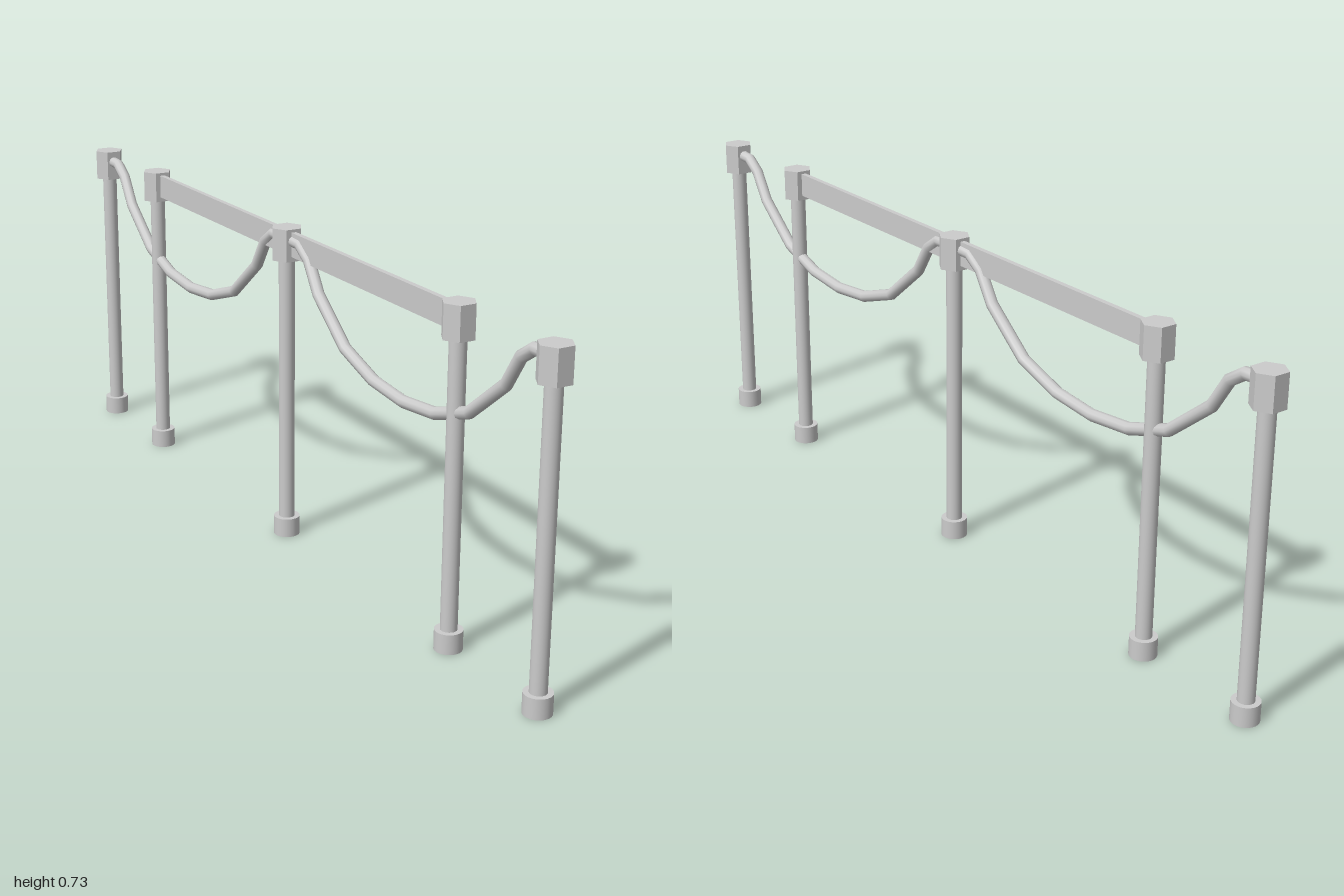
import * as THREE from 'three';

const material = new THREE.MeshStandardMaterial({ color: 0xcccccc });
const flatMaterial = new THREE.MeshStandardMaterial({ color: 0xcccccc, flatShading: true });

const END_Z = 0.969, BELT_Z = 0.67;

// Curve through straight segments, one unit of parameter per segment
class Polyline extends THREE.Curve {
  constructor(points) {
    super();
    this.points = points;
  }
  getPoint(t, target = new THREE.Vector3()) {
    const s = t * (this.points.length - 1);
    const i = Math.min(Math.floor(s), this.points.length - 2);
    return target.lerpVectors(this.points[i], this.points[i + 1], s - i);
  }
  getUtoTmapping(u) {
    return u;
  }
}

function addMesh(parent, name, geometry, mat = material) {
  const mesh = new THREE.Mesh(geometry, mat);
  mesh.name = name;
  parent.add(mesh);
  return mesh;
}

// Upright cylinder between two heights
function column(radius, y0, y1, sides) {
  return new THREE.CylinderGeometry(radius, radius, y1 - y0, sides).translate(0, (y0 + y1) / 2, 0);
}

// Post: round foot, slim pole and hexagonal head with corners on the x axis
function createPost(z) {
  const post = new THREE.Group();
  post.name = 'post';
  addMesh(post, 'foot', column(0.03, 0, 0.044, 24));
  addMesh(post, 'pole', column(0.018, 0.02, 0.68, 24));
  addMesh(post, 'head', column(0.036, 0.66, 0.733, 6).rotateY(Math.PI / 2), flatMaterial);
  post.position.z = z;
  return post;
}

// Sagging rope, mirrored about the middle of its span
function createRopeGeometry() {
  const half = [
    [0.4845, 0.708], [0.456, 0.706], [0.425, 0.705], [0.386, 0.679],
    [0.344, 0.613], [0.23, 0.522], [0.115, 0.484],
  ];
  const profile = [
    ...half.map(([z, y]) => [-z, y]),
    [0, 0.473],
    ...half.slice().reverse(),
  ];
  const points = profile.map(([z, y]) => new THREE.Vector3(0, y, z));
  return new THREE.TubeGeometry(new Polyline(points), points.length - 1, 0.0135, 10, false);
}

export function createModel() {
  const model = new THREE.Group();
  model.name = 'queueBarrier';

  for (const z of [-END_Z, -BELT_Z, 0, BELT_Z, END_Z]) model.add(createPost(z));

  const ropeGeometry = createRopeGeometry();
  for (const side of [-1, 1]) {
    // Flat belt from the centre post to an inner post
    const belt = addMesh(model, 'belt', new THREE.BoxGeometry(0.012, 0.055, BELT_Z));
    belt.position.set(0, 0.699, side * BELT_Z / 2);

    // Rope from the centre post to an outer post
    const rope = addMesh(model, 'rope', ropeGeometry);
    rope.position.z = side * END_Z / 2;
  }

  return model;
}
